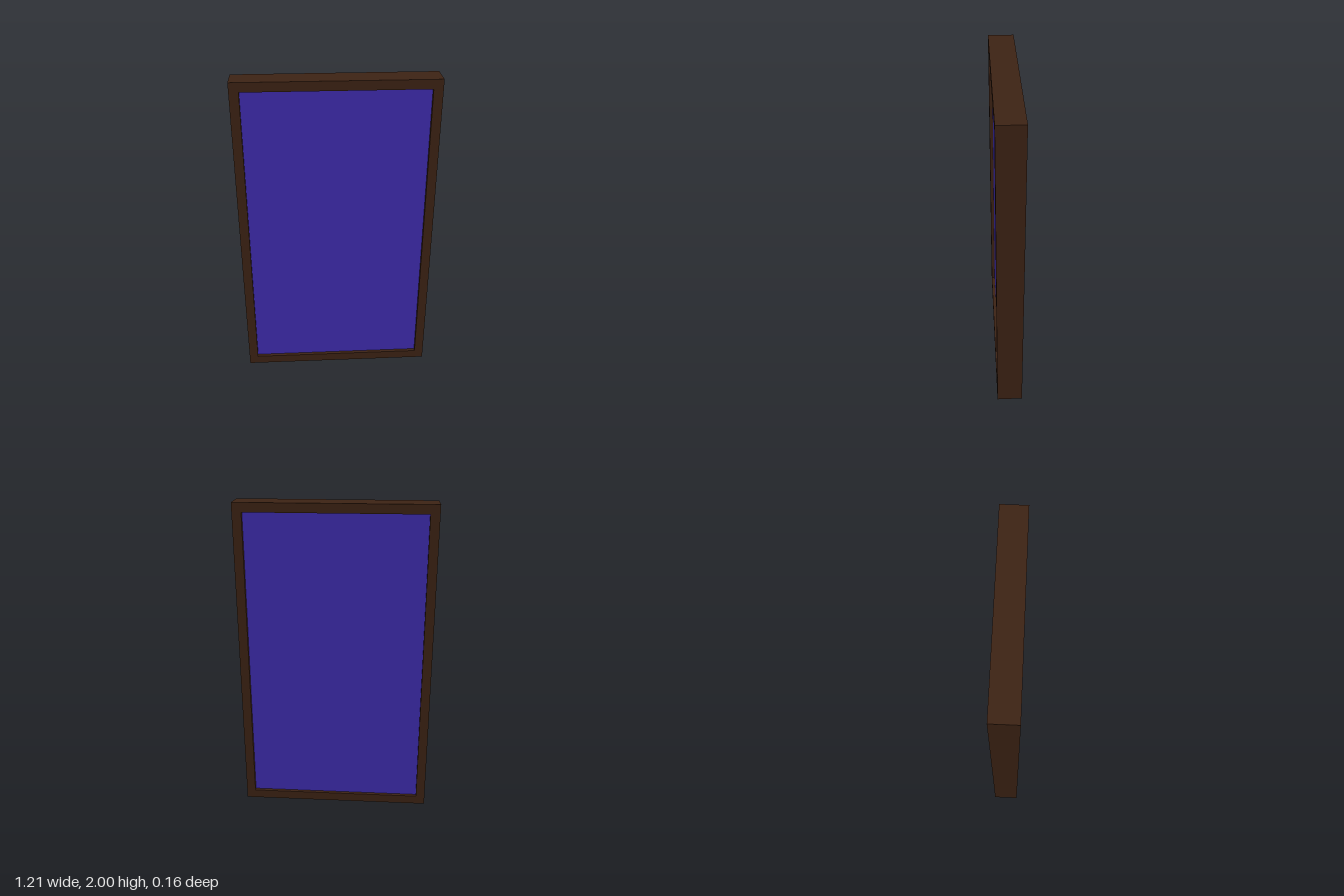
import * as THREE from 'three';

const W = 1.21, H = 2, D = 0.16;   // outer size of the frame
const BORDER = 0.057;              // width of the frame rails
const RECESS = 0.022;              // panel set back from both faces

// Rectangle centred on x, y
function rect(path, w, h) {
  path.moveTo(-w / 2, -h / 2);
  path.lineTo(w / 2, -h / 2);
  path.lineTo(w / 2, h / 2);
  path.lineTo(-w / 2, h / 2);
  path.closePath();
  return path;
}

export function createModel() {
  const model = new THREE.Group();
  model.name = 'framedPanel';
  const innerW = W - 2 * BORDER, innerH = H - 2 * BORDER;

  // Wooden frame with a rectangular opening
  const outline = rect(new THREE.Shape(), W, H);
  outline.holes.push(rect(new THREE.Path(), innerW, innerH));
  const frameGeometry = new THREE.ExtrudeGeometry(outline, { depth: D, bevelEnabled: false });
  frameGeometry.translate(0, H / 2, -D / 2);
  const frame = new THREE.Mesh(frameGeometry, new THREE.MeshStandardMaterial({ color: 0x3d2314 }));
  frame.name = 'frame';
  model.add(frame);

  // Blue panel, recessed on the front and the back
  const panel = new THREE.Mesh(
    new THREE.BoxGeometry(innerW, innerH, D - 2 * RECESS),
    new THREE.MeshStandardMaterial({ color: 0x3f2cb0 })
  );
  panel.name = 'panel';
  panel.position.y = H / 2;
  model.add(panel);

  return model;
}
